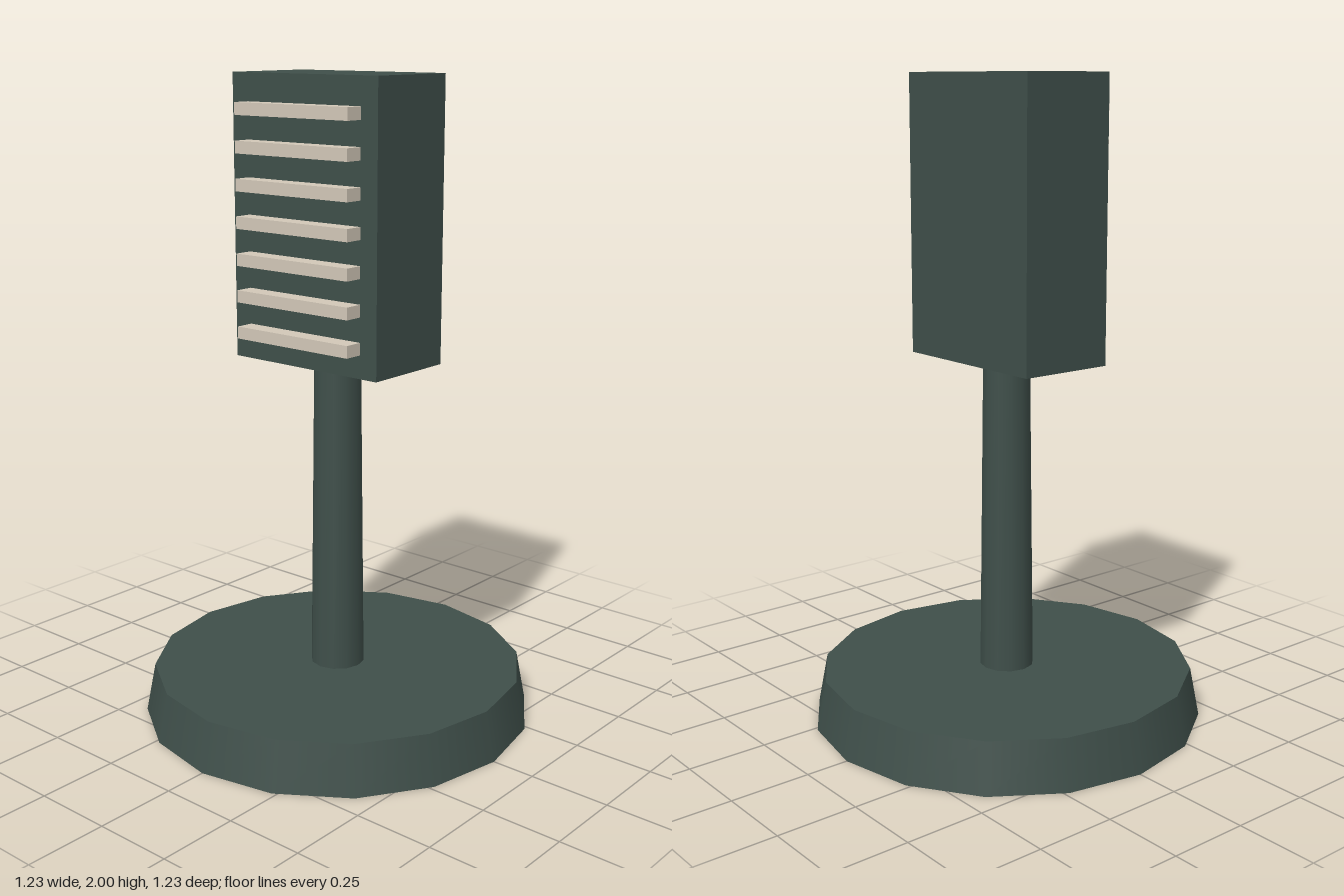
import * as THREE from 'three';

export function createModel() {
  const model = new THREE.Group();
  model.name = 'deskMicrophone';

  const darkGreen = new THREE.MeshStandardMaterial({ color: 0x3f4f4a });
  darkGreen.name = 'dark green';
  const cream = new THREE.MeshStandardMaterial({ color: 0xd2c8b8 });
  cream.name = 'cream';

  const add = (name, geometry, material, y, z = 0, parent = model) => {
    const mesh = new THREE.Mesh(geometry, material);
    mesh.name = name;
    mesh.position.set(0, y, z);
    parent.add(mesh);
  };

  // Tapered round foot
  const baseHeight = 0.155;
  add('base', new THREE.CylinderGeometry(0.585, 0.615, baseHeight, 16), darkGreen, baseHeight / 2);

  // Slim tapered stem between the foot and the head
  const headBottom = 1.143;
  add('stem', new THREE.CylinderGeometry(0.073, 0.085, headBottom - baseHeight, 12), darkGreen,
    (headBottom + baseHeight) / 2);

  // Box-shaped head
  const headHeight = 2 - headBottom;
  const headDepth = 0.308;
  add('head', new THREE.BoxGeometry(0.553, headHeight, headDepth), darkGreen, headBottom + headHeight / 2);

  // Seven grille bars on the front of the head
  const grille = new THREE.Group();
  grille.name = 'grille';
  model.add(grille);
  const barDepth = 0.058;
  const bar = new THREE.BoxGeometry(0.431, 0.037, barDepth);
  for (let i = 0; i < 7; i++) {
    add('grilleBar' + (i + 1), bar, cream, 1.232 + i * 0.111, headDepth / 2 + barDepth / 2, grille);
  }

  return model;
}
